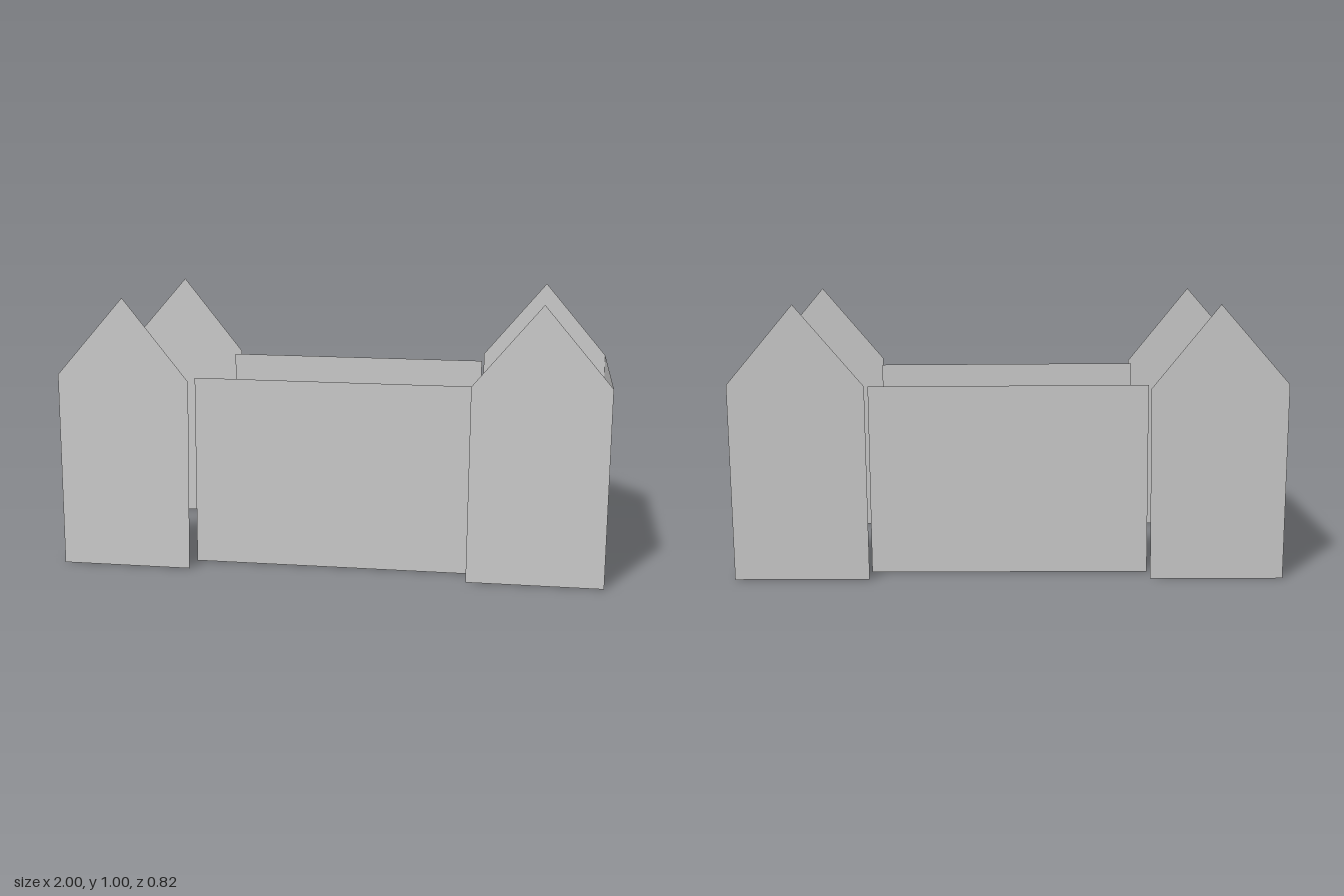
import * as THREE from 'three';

export function createModel() {
  const model = new THREE.Group();
  model.name = 'castleWalls';

  const grey = new THREE.MeshStandardMaterial({ color: 0xcccccc, side: THREE.DoubleSide });
  grey.name = 'wallGrey';

  // A flat panel from an outline; place(u, v) maps outline points into space.
  function panel(name, outline, place) {
    const shape = new THREE.Shape(outline.map(([u, v]) => new THREE.Vector2(u, v)));
    const geometry = new THREE.ShapeGeometry(shape);
    const pos = geometry.attributes.position;
    for (let i = 0; i < pos.count; i++) {
      pos.setXYZ(i, ...place(pos.getX(i), pos.getY(i)));
    }
    geometry.computeVertexNormals();
    const mesh = new THREE.Mesh(geometry, grey);
    mesh.name = name;
    model.add(mesh);
  }

  // Gabled tower faces: counter-clockwise outlines, slightly out of plumb
  const gables = {
    right: [[-1, 0], [-0.517, 0], [-0.508, 0.7], [-0.748, 1], [-1, 0.715]],
    left: [[0.504, 0], [0.992, 0], [0.998, 0.715], [0.757, 1], [0.511, 0.71]],
  };
  const curtain = [[-0.515, 0], [0.503, 0], [0.508, 0.695], [-0.51, 0.7]];

  const frontZ = (y) => 0.41 - 0.007 * y;
  const backZ = (y) => -0.402 - 0.01 * y;

  // Front and back: two gables and the recessed wall between them
  for (const [side, sign, depth] of [['front', 1, frontZ], ['back', -1, backZ]]) {
    const facing = (outline) => (sign > 0 ? outline : outline.map(([x, y]) => [x, y]));
    panel(side + 'RightGable', facing(gables.right), (x, y) => [x, y, depth(y)]);
    panel(side + 'LeftGable', facing(gables.left), (x, y) => [x, y, depth(y)]);
    panel(side + 'CurtainWall', facing(curtain), (x, y) => [x, y, sign * 0.31]);
  }

  // End walls joining the outer edges of the gables
  const h = 0.715;
  const end = [[backZ(0), 0], [frontZ(0), 0], [frontZ(h), h], [backZ(h), h]];
  panel('rightEndWall', end, (z, y) => [-1, y, z]);
  panel('leftEndWall', end, (z, y) => [0.992 + (0.006 * y) / h, y, z]);

  return model;
}
